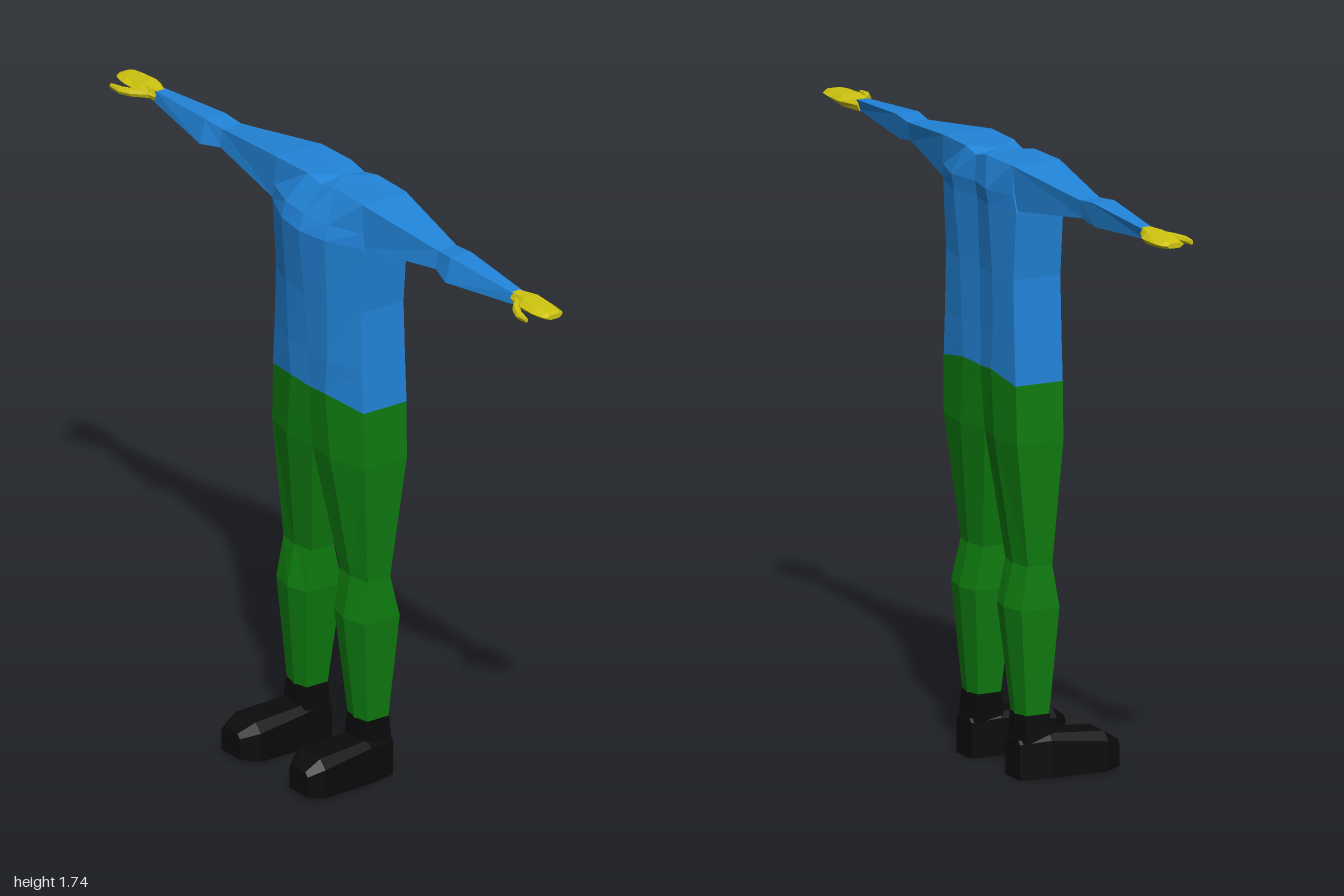
import * as THREE from 'three';

const material = (name, color) => Object.assign(new THREE.MeshStandardMaterial({ color, flatShading: true }), { name });

// Closed skin through rings of equal point count, with fan caps; winding is turned outward by signed volume.
function loft(rings) {
  const pts = rings.map(r => r.map(p => new THREE.Vector3(...p)));
  const n = pts[0].length, tris = [];
  for (let i = 0; i + 1 < pts.length; i++) {
    for (let j = 0; j < n; j++) {
      const k = (j + 1) % n, a = pts[i], b = pts[i + 1];
      tris.push([a[j], a[k], b[k]], [a[j], b[k], b[j]]);
    }
  }
  for (const [ring, flip] of [[pts[0], true], [pts[pts.length - 1], false]]) {
    const mid = ring.reduce((s, p) => s.add(p), new THREE.Vector3()).divideScalar(n);
    ring.forEach((p, j) => {
      const q = ring[(j + 1) % n];
      tris.push(flip ? [mid, q, p] : [mid, p, q]);
    });
  }
  let volume = 0;
  for (const [a, b, c] of tris) volume += a.dot(b.clone().cross(c));
  if (volume < 0) tris.forEach(t => t.reverse());
  const geometry = new THREE.BufferGeometry().setFromPoints(tris.flat());
  geometry.computeVertexNormals();
  return geometry;
}

// Torso ring: side, mid and centre points, each with height, front z and back z.
function torsoRing([w, ys, sf, sb], [m, ym, mf, mb], [yc, cf, cb]) {
  return [
    [0, yc, cf], [m, ym, mf], [w, ys, sf], [w, ys, sb], [m, ym, mb],
    [0, yc, cb], [-m, ym, mb], [-w, ys, sb], [-w, ys, sf], [-m, ym, mf],
  ];
}

// Arm ring at x: bottom and top heights, top front z, bottom front z, back z.
const armRing = ([x, y0, y1, zTop, zBottom, zBack]) =>
  [[x, y0, zBottom], [x, y1, zTop], [x, y1, zBack], [x, y0, zBack + 0.01]];

// Flat hexagonal hand ring at x.
function handRing([x, y0, y1, front, back]) {
  const y = (y0 + y1) / 2, inset = (front - back) * 0.2;
  return [[x, y, front], [x, y1, front - inset], [x, y1, back + inset],
    [x, y, back], [x, y0, back + inset], [x, y0, front - inset]];
}

// Leg ring at y: outer edge, middle and inner edge, each with front z and back z.
const legRing = ([y, xo, of, ob, xm, mf, mb, xi, inf, inb]) =>
  [[xo, y, of], [xm, y, mf], [xi, y, inf], [xi, y, inb], [xm, y, mb], [xo, y, ob]];

// Shoe ring at z: sole and top extents, sides bevelled towards the top.
const shoeRing = ([z, xi, xo, y0, y1, bevel]) => [
  [xi, y0, z], [xo, y0, z], [xo, y1 - bevel, z], [xo - bevel, y1, z], [xi + bevel, y1, z], [xi, y1 - bevel, z],
];

export function createModel() {
  const blue = material('shirt blue', 0x2285da);
  const green = material('trouser green', 0x0f7d10);
  const yellow = material('glove yellow', 0xcfc510);
  const black = material('shoe black', 0x0b0b0b);
  const model = new THREE.Group();
  model.name = 'figure';

  const add = (parent, name, rings, mat) => {
    const mesh = new THREE.Mesh(loft(rings), mat);
    mesh.name = name;
    parent.add(mesh);
  };

  const belt = torsoRing([0.21, 1.115, 0, -0.145], [0.08, 1.138, 0.035, -0.153], [1.13, 0.03, -0.143]);
  // Shirt body
  add(model, 'torso', [
    belt,
    torsoRing([0.203, 1.24, 0, -0.145], [0.09, 1.24, 0.036, -0.153], [1.24, 0.036, -0.143]),
    torsoRing([0.196, 1.41, 0, -0.145], [0.095, 1.41, 0.04, -0.157], [1.41, 0.047, -0.145]),
    torsoRing([0.213, 1.605, 0, -0.145], [0.1, 1.605, 0.052, -0.172], [1.605, 0.068, -0.153]),
    torsoRing([0.205, 1.65, 0, -0.15], [0.1, 1.65, 0.038, -0.18], [1.65, 0.048, -0.16]),
    torsoRing([0.2, 1.735, -0.003, -0.153], [0.06, 1.735, -0.008, -0.156], [1.722, -0.012, -0.156]),
  ], blue);
  // Hips
  add(model, 'hips', [
    torsoRing([0.214, 0.95, 0, -0.143], [0.1, 0.95, 0.033, -0.153], [0.95, 0.02, -0.13]),
    belt,
  ], green);

  for (const [label, s] of [['left', 1], ['right', -1]]) {
    const side = new THREE.Group();
    side.name = label + 'Limbs';
    model.add(side);
    const part = (name, rings, mat) =>
      add(side, label + name, rings.map(r => r.map(([x, y, z]) => [s * x, y, z])), mat);

    part('Arm', [
      [0.195, 1.605, 1.735, -0.003, 0, -0.153],
      [0.5, 1.645, 1.698, -0.04, -0.033, -0.103],
      [0.57, 1.635, 1.705, -0.032, -0.014, -0.1],
      [0.83, 1.656, 1.688, -0.053, -0.05, -0.086],
    ].map(armRing), blue);

    part('Hand', [
      [0.825, 1.655, 1.69, -0.048, -0.087],
      [0.885, 1.657, 1.692, -0.033, -0.113],
      [0.95, 1.662, 1.688, -0.031, -0.113],
      [0.985, 1.665, 1.685, -0.038, -0.108],
      [1.0, 1.668, 1.682, -0.046, -0.096],
    ].map(handRing), yellow);

    part('Thumb', [
      [0.85, 1.662, 1.684, -0.04, -0.065],
      [0.89, 1.66, 1.68, -0.008, -0.035],
      [0.925, 1.66, 1.678, 0.006, -0.017],
      [0.965, 1.663, 1.675, 0.003, -0.007],
    ].map(handRing), yellow);

    part('Leg', [
      [0.95, 0.214, 0, -0.143, 0.1, 0.033, -0.153, 0, 0.02, -0.13],
      [0.6, 0.196, -0.025, -0.1, 0.13, -0.014, -0.112, 0.065, -0.025, -0.1],
      [0.48, 0.206, -0.008, -0.125, 0.13, 0.01, -0.14, 0.062, -0.008, -0.125],
      [0.175, 0.187, -0.03, -0.1, 0.14, -0.02, -0.11, 0.095, -0.03, -0.1],
    ].map(legRing), green);

    part('Ankle', [
      [0.18, 0.188, -0.028, -0.102, 0.14, -0.02, -0.11, 0.094, -0.028, -0.102],
      [0.1, 0.192, -0.02, -0.108, 0.14, -0.018, -0.114, 0.094, -0.02, -0.108],
    ].map(legRing), black);

    part('Shoe', [
      [-0.118, 0.1, 0.185, 0, 0.11, 0.01],
      [-0.03, 0.088, 0.205, 0.002, 0.125, 0.018],
      [0.135, 0.08, 0.22, 0.006, 0.115, 0.025],
      [0.18, 0.115, 0.2, 0.012, 0.085, 0.012],
    ].map(shoeRing), black);
  }
  return model;
}
